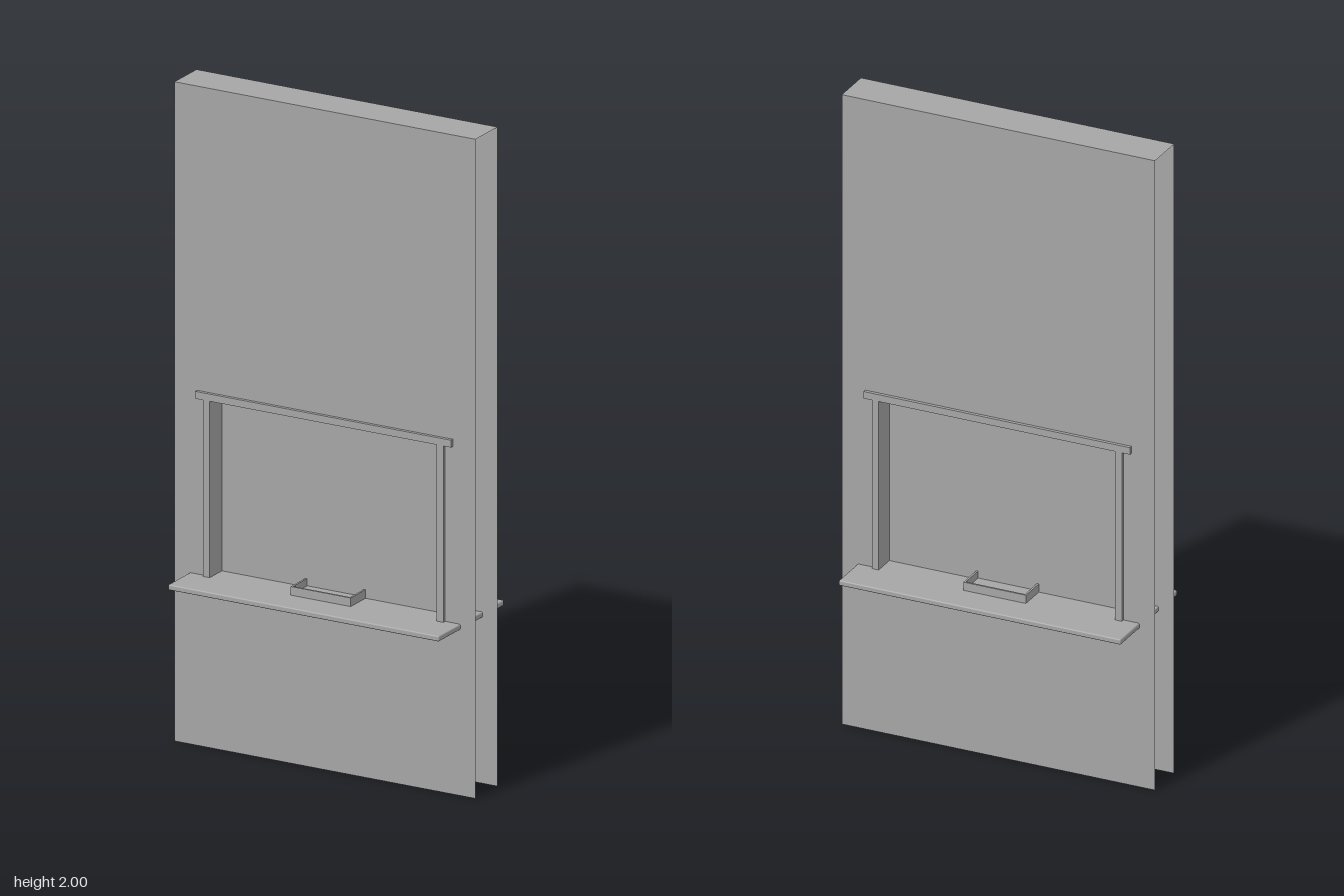
import * as THREE from 'three';
import { RoundedBoxGeometry } from 'three/addons/geometries/RoundedBoxGeometry.js';

export function createModel() {
  const model = new THREE.Group();
  model.name = 'serviceWindowWall';
  const grey = new THREE.MeshStandardMaterial({ color: 0xa6a6a6, side: THREE.DoubleSide });
  grey.name = 'plain grey';

  const add = (name, geometry, x, y, z, parent = model) => {
    const mesh = new THREE.Mesh(geometry, grey);
    mesh.name = name;
    mesh.position.set(x, y, z);
    parent.add(mesh);
    return mesh;
  };
  const box = (name, w, h, d, x, y, z, parent) =>
    add(name, new THREE.BoxGeometry(w, h, d), x, y, z, parent);

  // Wall: two thin sheets with a window opening and a cap, open at ends and bottom
  const rect = (Type, x, y0, y1) => new Type([
    new THREE.Vector2(-x, y0), new THREE.Vector2(x, y0),
    new THREE.Vector2(x, y1), new THREE.Vector2(-x, y1),
  ]);
  const sheet = rect(THREE.Shape, 0.5, 0, 2);
  sheet.holes.push(rect(THREE.Path, 0.385, 0.512, 1.06));
  add('wallFront', new THREE.ShapeGeometry(sheet), 0, 0, 0.0625);
  add('wallBack', new THREE.ShapeGeometry(sheet), 0, 0, -0.0625).rotation.y = Math.PI;
  add('wallCap', new THREE.PlaneGeometry(1, 0.125), 0, 2, 0).rotation.x = -Math.PI / 2;

  // Window frame
  const frame = new THREE.Group();
  frame.name = 'windowFrame';
  model.add(frame);
  for (const side of [-1, 1]) {
    box(side > 0 ? 'leftJamb' : 'rightJamb', 0.022, 0.537, 0.146, side * 0.388, 0.7885, 0, frame);
  }
  box('lintel', 0.85, 0.022, 0.146, 0, 1.066, 0, frame);

  // Pane in the middle of the frame
  box('windowPane', 0.758, 0.537, 0.006, 0, 0.7885, 0);

  // Counter running through the wall, with softened edges
  add('counter', new RoundedBoxGeometry(0.9, 0.017, 0.37, 2, 0.004), 0, 0.5115, 0);

  // Shallow open tray passing under the pane
  const tray = new THREE.Group();
  tray.name = 'tray';
  model.add(tray);
  for (const side of [-1, 1]) {
    box('trayEnd', 0.2, 0.026, 0.006, 0, 0.533, side * 0.0845, tray);
    box('traySide', 0.006, 0.026, 0.163, side * 0.097, 0.533, 0, tray);
  }
  box('trayFloor', 0.188, 0.004, 0.163, 0, 0.522, 0, tray);

  return model;
}
